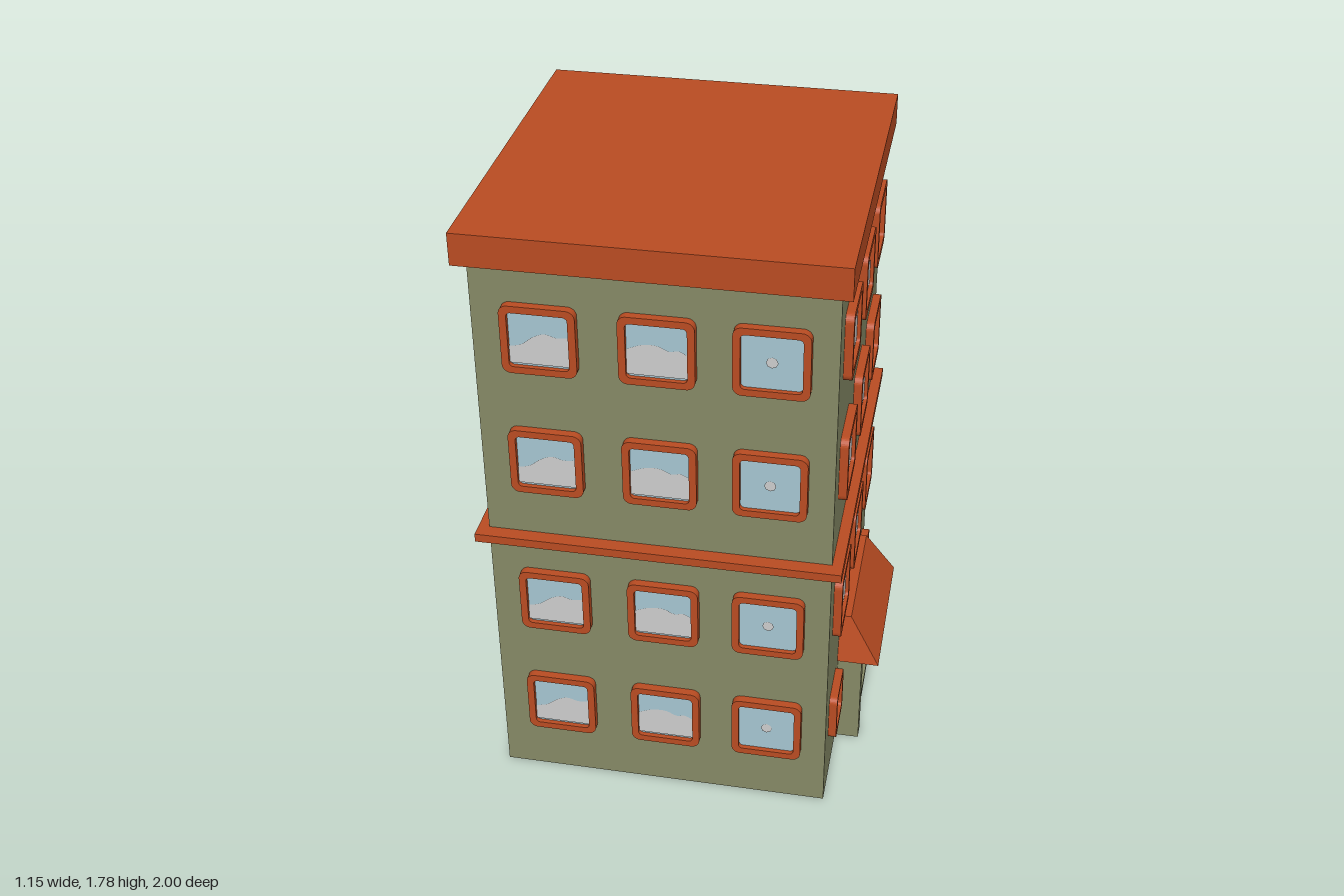
import * as THREE from 'three';

const mat = (name, color, side = THREE.FrontSide) => {
  const m = new THREE.MeshStandardMaterial({ color, side });
  m.name = name;
  return m;
};

export function createModel() {
  const wallMat = mat('olive wall', 0x868a66, THREE.DoubleSide);
  const roofMat = mat('terracotta', 0xba4c22);
  const glassMat = mat('sky glass', 0xa6c6d2);
  const cloudMat = mat('cloud reflection', 0xcdcdcd);

  const root = new THREE.Group();
  root.name = 'building';

  const add = (parent, name, geo, material, x = 0, y = 0, z = 0) => {
    const m = new THREE.Mesh(geo, material);
    m.name = name;
    m.position.set(x, y, z);
    parent.add(m);
    return m;
  };
  // Box given by its limits
  const box = (parent, name, material, x0, x1, y0, y1, z0, z1) =>
    add(parent, name, new THREE.BoxGeometry(x1 - x0, y1 - y0, z1 - z0), material,
      (x0 + x1) / 2, (y0 + y1) / 2, (z0 + z1) / 2);
  // Thin wall panel between two ground points, facing right of travel
  const wall = (parent, name, x0, z0, x1, z1, h) => {
    const dx = x1 - x0, dz = z1 - z0;
    const m = add(parent, name, new THREE.PlaneGeometry(Math.hypot(dx, dz), h), wallMat,
      (x0 + x1) / 2, h / 2, (z0 + z1) / 2);
    m.rotation.y = Math.atan2(-dz, dx);
  };

  const roundedSquare = (Type, s, r) => {
    const p = new Type(), h = s / 2, c = h - r;
    p.absarc(c, c, r, 0, Math.PI / 2);
    p.absarc(-c, c, r, Math.PI / 2, Math.PI);
    p.absarc(-c, -c, r, Math.PI, Math.PI * 1.5);
    p.absarc(c, -c, r, Math.PI * 1.5, Math.PI * 2);
    p.closePath();
    return p;
  };

  // Cloud outline tops, as fractions of the pane half size
  const cloudTops = [
    [[-1, -0.3], [-0.6, -0.2], [-0.2, 0.1], [0.2, 0.25], [0.6, 0.15], [1, 0.2]],
    [[-1, 0], [-0.5, 0.2], [0, 0.22], [0.4, 0.05], [0.7, 0.1], [1, -0.05]],
  ];
  const windowParts = (size) => {
    const pane = size * 0.8, h = pane / 2;
    const frame = roundedSquare(THREE.Shape, size, size * 0.12);
    frame.holes.push(roundedSquare(THREE.Path, pane, size * 0.06));
    const clouds = cloudTops.map((top) => {
      const s = new THREE.Shape();
      s.moveTo(-h, -h * 0.92);
      s.lineTo(-h, top[0][1] * h);
      s.splineThru(top.slice(1).map(([x, y]) => new THREE.Vector2(x * h, y * h)));
      s.lineTo(h, -h * 0.92);
      return new THREE.ShapeGeometry(s, 4);
    });
    clouds.push(new THREE.CircleGeometry(h * 0.2, 8));
    return {
      frame: new THREE.ExtrudeGeometry(frame, { depth: 0.023, bevelEnabled: false, curveSegments: 4 }),
      glass: new THREE.PlaneGeometry(pane, pane),
      clouds,
    };
  };
  const large = windowParts(0.197), small = windowParts(0.148);

  const addWindow = (parent, parts, cloud, x, y, z, turn) => {
    const g = new THREE.Group();
    g.name = 'window';
    add(g, 'windowFrame', parts.frame, roofMat);
    add(g, 'windowGlass', parts.glass, glassMat, 0, 0, 0.01);
    add(g, 'windowCloud', parts.clouds[cloud], cloudMat, 0, 0, 0.013);
    g.position.set(x, y, z);
    g.rotation.y = turn;
    parent.add(g);
  };

  // Entrance: arched door, two posts, sill and hipped canopy, facing +x
  const addPorch = (parent, x, z) => {
    const g = new THREE.Group();
    g.name = 'porch';
    const arch = new THREE.Shape();
    arch.moveTo(-0.097, 0.04);
    arch.lineTo(0.097, 0.04);
    arch.lineTo(0.097, 0.193);
    arch.absarc(0, 0.193, 0.097, 0, Math.PI);
    const door = add(g, 'door', new THREE.ExtrudeGeometry(arch, { depth: 0.006, bevelEnabled: false }), roofMat);
    door.rotation.y = Math.PI / 2;
    for (const s of [-1, 1]) {
      const a = s * 0.168, b = s * 0.212;
      box(g, 'porchPost', wallMat, 0, 0.07, 0, 0.31, Math.min(a, b), Math.max(a, b));
    }
    box(g, 'porchSill', wallMat, 0, 0.062, 0.022, 0.04, -0.168, 0.168);
    // Canopy: a box whose top is drawn in toward the wall
    const geo = new THREE.BoxGeometry(0.12, 0.142, 0.462);
    geo.translate(0.06, 0.379, 0);
    const p = geo.attributes.position;
    for (let i = 0; i < p.count; i++) {
      if (p.getY(i) > 0.38) {
        p.setX(i, p.getX(i) > 0.06 ? 0.032 : 0);
        p.setZ(i, Math.sign(p.getZ(i)) * 0.195);
      }
    }
    geo.computeVertexNormals();
    add(g, 'porchRoof', geo, roofMat);
    g.position.set(x, 0, z);
    parent.add(g);
  };

  const rows = [0.26, 0.635, 1.105, 1.48];
  const columns = [-0.307, -0.003, 0.288];
  const right = Math.PI / 2;

  // Tall front block, open underneath
  const tower = new THREE.Group();
  tower.name = 'tower';
  root.add(tower);
  const tx0 = -0.485, tx1 = 0.455, tz1 = 0.96, th = 1.69;
  wall(tower, 'towerFrontWall', tx0, tz1, tx1, tz1, th);
  wall(tower, 'towerRightWall', tx1, tz1, tx1, 0, th);
  wall(tower, 'towerBackWall', tx1, 0, tx0, 0, th);
  wall(tower, 'towerLeftWall', tx0, 0, tx0, tz1, th);
  box(tower, 'towerRoof', roofMat, -0.515, 0.485, 1.69, 1.78, -0.035, 1);
  box(tower, 'towerBand', roofMat, -0.515, 0.485, 0.835, 0.86, -0.035, 1);
  rows.forEach((y, r) => {
    columns.forEach((x, c) => {
      addWindow(tower, large, c, x, y, tz1, 0);
      addWindow(tower, large, c, -0.03 - x, y, 0, Math.PI);
    });
    if (r > 0) [0.782, 0.478, 0.187].forEach((z, c) => addWindow(tower, large, c, tx1, y, z, right));
  });
  for (const z of [0.817, 0.145]) addWindow(tower, small, 2, tx1, 0.245, z, right);
  addPorch(tower, tx1, 0.48);

  // Low rear wing, open underneath and toward the tower
  const wing = new THREE.Group();
  wing.name = 'rearWing';
  root.add(wing);
  const wx0 = -0.545, wx1 = 0.125, wz0 = -0.965, wh = 0.83;
  wall(wing, 'wingRightWall', wx1, 0, wx1, wz0, wh);
  wall(wing, 'wingBackWall', wx1, wz0, wx0, wz0, wh);
  wall(wing, 'wingLeftWall', wx0, wz0, wx0, 0, wh);
  wall(wing, 'wingFrontStrip', wx0, 0, tx0, 0, wh);
  box(wing, 'wingRoof', roofMat, -0.58, 0.155, 0.83, 0.902, -1, 0.035);
  [-0.183, -0.485, -0.78].forEach((z, c) => addWindow(wing, large, c, wx1, 0.635, z, right));
  for (const z of [-0.145, -0.817]) addWindow(wing, small, 2, wx1, 0.245, z, right);
  for (const y of rows.slice(0, 2)) {
    [-0.04, -0.335].forEach((x, c) => addWindow(wing, large, c, x, y, wz0, Math.PI));
  }
  addPorch(wing, wx1, -0.481);

  // Chimneys
  box(wing, 'tallChimney', wallMat, -0.413, -0.313, 0.9, 1.057, -0.85, -0.754);
  box(wing, 'shortChimney', wallMat, -0.413, -0.313, 0.9, 0.987, -0.72, -0.622);

  return root;
}
